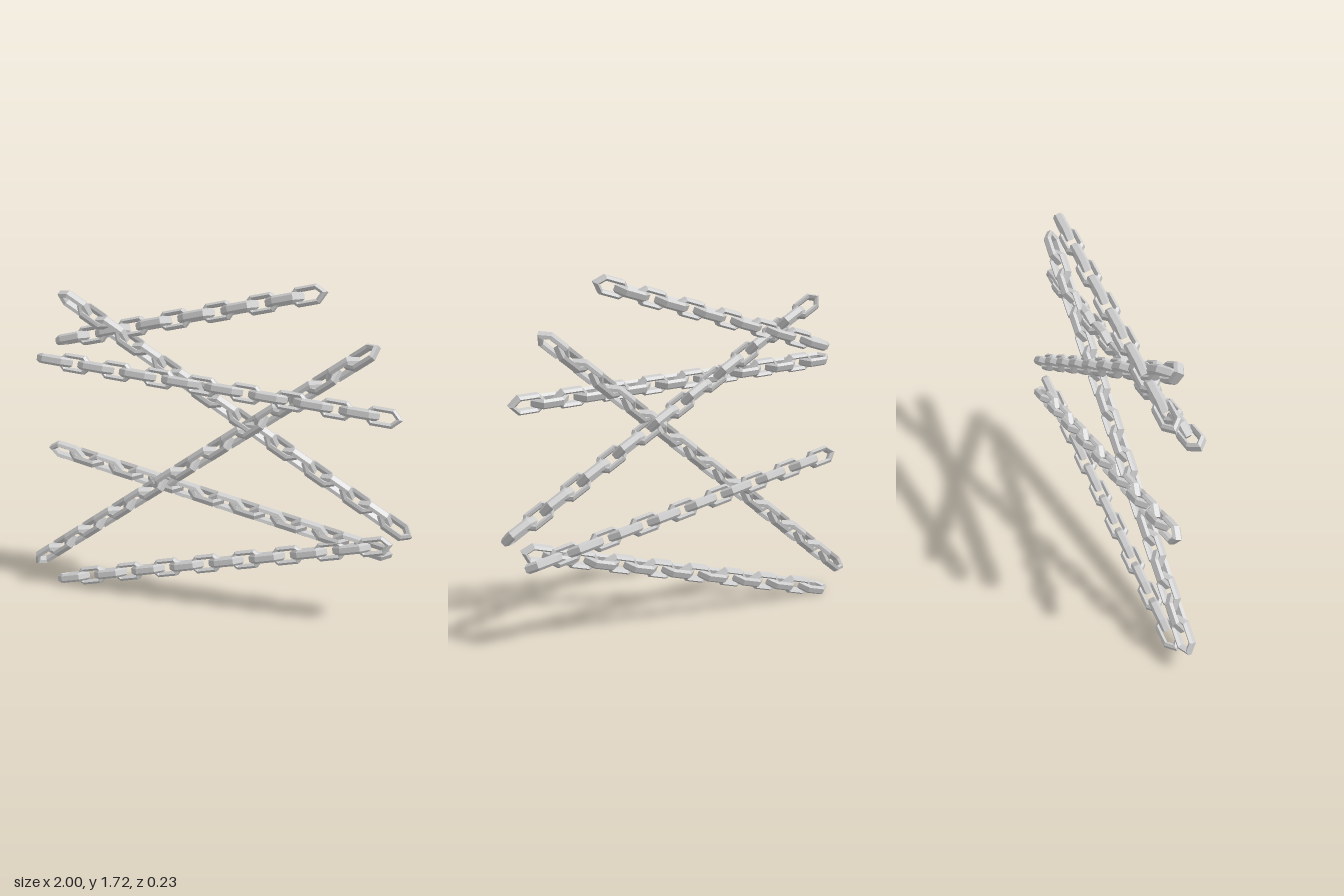
import * as THREE from 'three';

const LENGTH = 0.194, HALF_WIDTH = 0.046, TAPER = 0.046, WIRE = 0.023;

// One link: a long hexagon ring with pointed ends and a six-sided bevelled wire
function linkGeometry() {
  const a = LENGTH / 2, b = HALF_WIDTH, slope = Math.hypot(b, TAPER);
  // wire section: [inset from the outer edge, depth]
  const section = [
    [0, -0.013], [0, 0.013], [WIRE / 2, 0.024],
    [WIRE, 0.013], [WIRE, -0.013], [WIRE / 2, -0.024],
  ];
  // mitred corners of the hexagon for a given inset
  const corners = (r) => {
    const tip = a - (r * slope) / b;
    const sx = a - TAPER - (r * (slope - TAPER)) / b, sy = b - r;
    return [[tip, 0], [sx, sy], [-sx, sy], [-tip, 0], [-sx, -sy], [sx, -sy]];
  };
  const positions = [], index = [];
  for (const [inset, depth] of section) {
    for (const [x, y] of corners(inset)) positions.push(x, y, depth);
  }
  for (let j = 0; j < 6; j++) {
    for (let i = 0; i < 6; i++) {
      const i2 = (i + 1) % 6, j2 = (j + 1) % 6;
      const p = j * 6 + i, q = j * 6 + i2, r = j2 * 6 + i2, s = j2 * 6 + i;
      index.push(p, q, r, p, r, s);
    }
  }
  const geometry = new THREE.BufferGeometry();
  geometry.setAttribute('position', new THREE.Float32BufferAttribute(positions, 3));
  geometry.setIndex(index);
  const flat = geometry.toNonIndexed();
  flat.computeVertexNormals();
  return flat;
}

// Straight runs: tips, number of links, roll in degrees, and
// whether the first link lies in the rolled plane
const CHAINS = [
  { name: 'topChain', from: [-0.836, 1.345, -0.018], to: [0.538, 1.686, -0.05], links: 12, roll: 17, firstFlat: false },
  { name: 'fallingChain', from: [-0.788, 1.605, 0.014], to: [0.997, 0.513, -0.03], links: 18, roll: -32, firstFlat: true },
  { name: 'levelChain', from: [-0.9, 1.28, 0.07], to: [0.931, 1.129, 0.03], links: 16, roll: 17, firstFlat: false },
  { name: 'middleChain', from: [-0.892, 0.78, -0.005], to: [0.906, 0.388, -0.068], links: 16, roll: -18, firstFlat: true },
  { name: 'risingChain', from: [-0.996, 0.113, 0.035], to: [0.796, 1.459, -0.01], links: 20, roll: -38, firstFlat: true },
  { name: 'bottomChain', from: [-0.877, 0.02, 0.022], to: [0.911, 0.466, -0.032], links: 16, roll: 17, firstFlat: false },
];

export function createModel() {
  const model = new THREE.Group();
  model.name = 'chains';
  const geometry = linkGeometry();
  const material = new THREE.MeshStandardMaterial({ color: 0xcccccc, flatShading: true });

  for (const { name, from, to, links, roll, firstFlat } of CHAINS) {
    const start = new THREE.Vector3(...from), end = new THREE.Vector3(...to);
    const along = end.clone().sub(start);
    const total = along.length();
    along.normalize();

    // chain frame: x along the run, z facing front, then rolled about the run
    const facing = new THREE.Vector3(0, 0, 1).addScaledVector(along, -along.z).normalize();
    const up = facing.clone().cross(along);
    const chain = new THREE.Group();
    chain.name = name;
    chain.quaternion.setFromRotationMatrix(new THREE.Matrix4().makeBasis(along, up, facing));
    chain.rotateX(-THREE.MathUtils.degToRad(roll));
    chain.position.copy(start);

    // links alternate by a quarter turn
    const pitch = (total - LENGTH) / (links - 1);
    for (let i = 0; i < links; i++) {
      const link = new THREE.Mesh(geometry, material);
      link.name = 'link';
      link.position.x = LENGTH / 2 + i * pitch;
      if ((i % 2 === 0) !== firstFlat) link.rotation.x = Math.PI / 2;
      chain.add(link);
    }
    model.add(chain);
  }
  return model;
}
